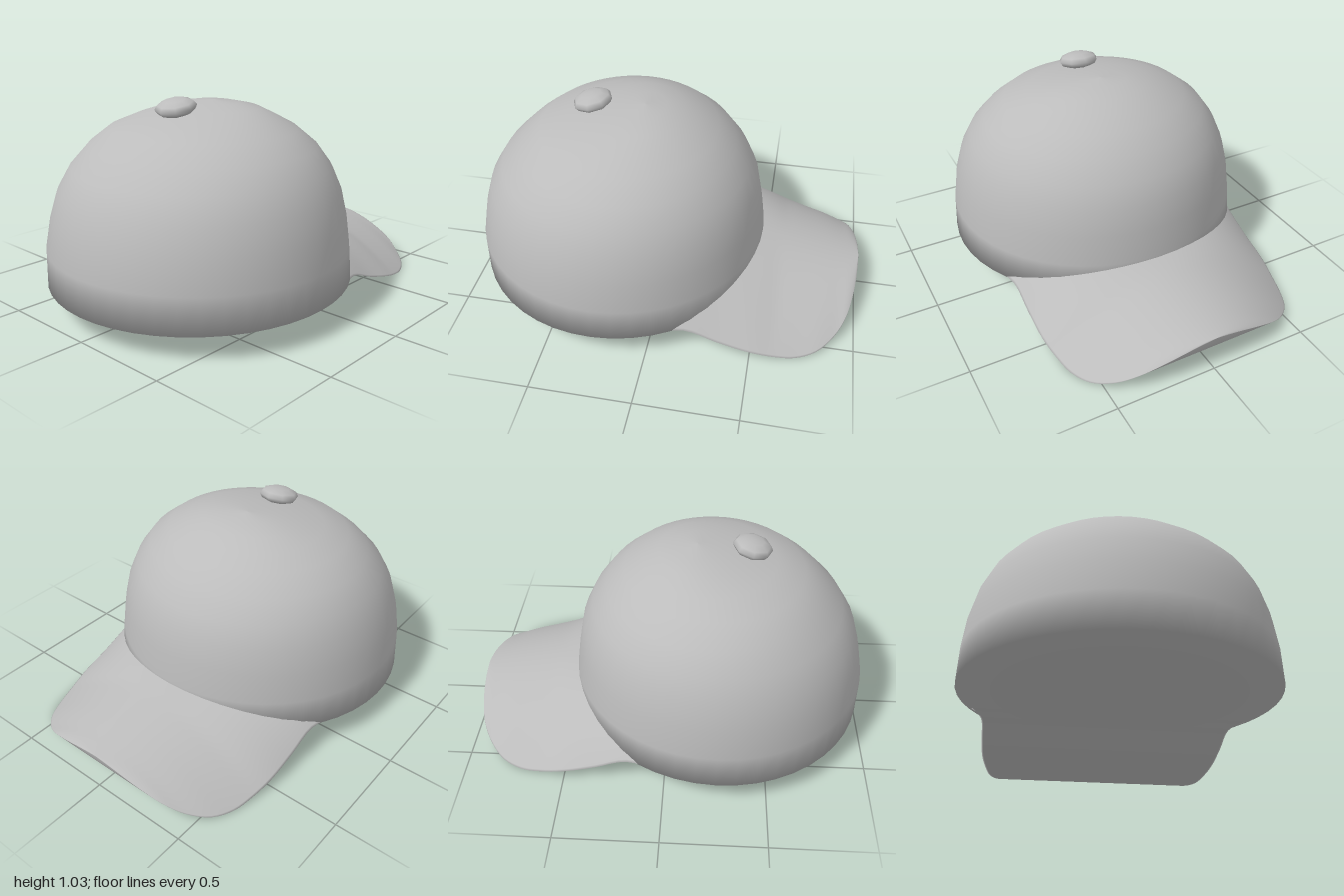
import * as THREE from 'three';

const grey = new THREE.MeshStandardMaterial({ color: 0xbcbcbc, side: THREE.DoubleSide });
grey.name = 'grey cloth';

// Smooth skin over a list of closed rings, each with the same number of points
function loft(rings) {
  const n = rings[0].length, index = [];
  for (let i = 0; i < rings.length - 1; i++) {
    for (let j = 0; j < n; j++) {
      const a = i * n + j, b = i * n + (j + 1) % n, c = a + n, d = b + n;
      index.push(a, c, b, b, c, d);
    }
  }
  const g = new THREE.BufferGeometry();
  g.setAttribute('position', new THREE.Float32BufferAttribute(rings.flat(2), 3));
  g.setIndex(index);
  g.computeVertexNormals();
  return g;
}

function part(name, geometry) {
  const m = new THREE.Mesh(geometry, grey);
  m.name = name;
  return m;
}

// Dome: elliptical rings given by height, back x, front x and half width
function crownGeometry() {
  const profile = [
    [0.12, -1, 0.5, 0.765], [0.3, -1, 0.49, 0.755], [0.45, -0.97, 0.47, 0.735],
    [0.58, -0.93, 0.445, 0.7], [0.69, -0.86, 0.395, 0.65], [0.79, -0.76, 0.32, 0.575],
    [0.87, -0.66, 0.23, 0.47], [0.92, -0.52, 0.14, 0.36], [0.96, -0.34, 0.06, 0.25],
    [0.98, -0.22, -0.03, 0.13], [0.99, -0.13, -0.13, 0],
  ];
  const segments = 48;
  const rings = profile.map(([y, back, front, half], i) =>
    Array.from({ length: segments }, (_, j) => {
      const t = j / segments * Math.PI * 2;
      const x = (back + front) / 2 + (front - back) / 2 * Math.cos(t);
      const lift = i === 0 ? 0.023 * (x + 1) : 0; // rim rises towards the bill
      return [x, y + lift, half * Math.sin(t)];
    }));
  // Closed underside, sharing the rim
  rings.unshift(rings[0].map(() => [-0.25, 0.137, 0]));
  return loft(rings);
}

// Bill: arched top and straight underside, from x, half width and edge height
function billGeometry() {
  const outline = new THREE.CatmullRomCurve3([
    [0.02, 0.695, 0.142], [0.18, 0.65, 0.145], [0.34, 0.645, 0.09], [0.5, 0.64, 0.045],
    [0.62, 0.62, 0.015], [0.72, 0.595, 0], [0.82, 0.545, 0.008], [0.9, 0.46, 0.04],
    [0.95, 0.37, 0.085], [0.98, 0.25, 0.132], [0.995, 0.12, 0.17], [1, 0, 0.19],
  ].map(p => new THREE.Vector3(...p)), false, 'centripetal');
  const half = 20;
  const rings = outline.getPoints(44).map(({ x, y: width, z: edge }) => {
    const middle = 0.29 - 0.196 * (x - 0.49);
    const power = 2 + 2 * Math.max(0, 0.6 - x) / 0.6; // fuller beside the crown
    return Array.from({ length: half * 2 }, (_, j) => {
      const u = Math.cos(j / half * Math.PI);
      const arch = j < half ? 1 - Math.abs(u) ** power : 0;
      return [x, edge + (middle - edge) * arch, Math.max(width, 0) * u];
    });
  });
  return loft(rings);
}

export function createModel() {
  const cap = new THREE.Group();
  cap.name = 'cap';
  cap.add(part('crown', crownGeometry()), part('bill', billGeometry()));

  // Eight-sided button, tilted with the slope of the crown
  const button = part('button', new THREE.SphereGeometry(0.1, 8, 6));
  button.scale.set(1, 0.42, 1.03);
  button.rotation.z = 0.2;
  button.position.set(-0.395, 0.982, 0);
  cap.add(button);
  return cap;
}
